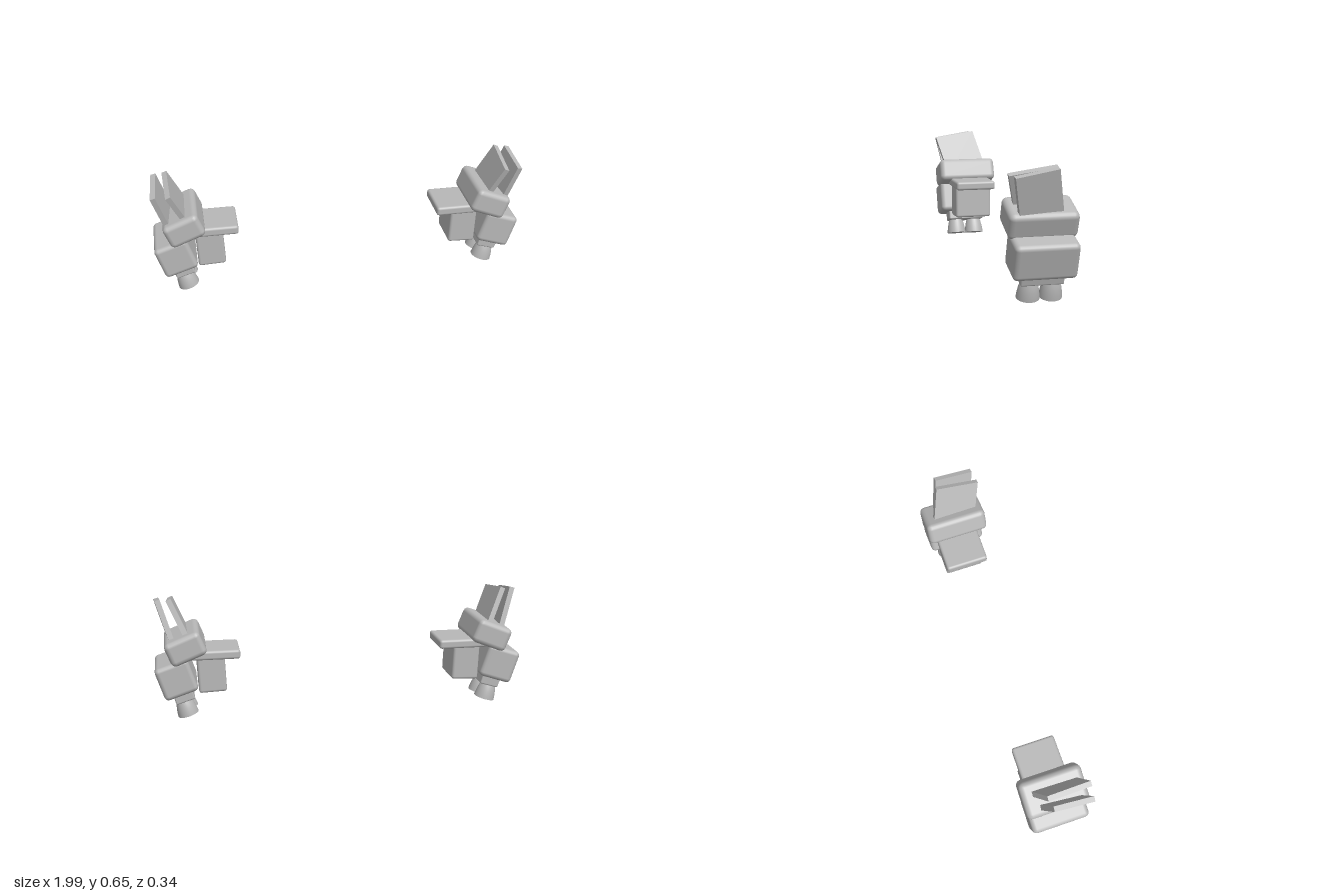
import * as THREE from 'three';
import { RoundedBoxGeometry } from 'three/addons/geometries/RoundedBoxGeometry.js';

export function createModel() {
  const model = new THREE.Group();
  const grey = new THREE.MeshStandardMaterial({ color: 0xb8b8b8 });
  grey.name = 'plain grey';

  // One arm unit; s = 1 is the left side, s = -1 the right side
  function buildArm(s) {
    const arm = new THREE.Group();
    arm.name = s > 0 ? 'leftArm' : 'rightArm';

    const add = (name, geometry, x = 0, y = 0, z = 0, tilt = 0) => {
      const mesh = new THREE.Mesh(geometry, grey);
      mesh.name = name;
      mesh.position.set(s * x, y, z);
      mesh.rotation.z = s * tilt;
      arm.add(mesh);
    };
    const block = (w, h, d, r) => new RoundedBoxGeometry(w, h, d, 2, r);

    // Stacked armour blocks, leaning outwards
    add('shoulderBlock', block(0.2, 0.134, 0.34, 0.028), 0.832, 0.402, -0.003, -0.38);
    add('forearmBlock', block(0.186, 0.184, 0.313, 0.024), 0.885, 0.235, -0.003, -0.32);
    add('wristBlock', block(0.105, 0.07, 0.213, 0.008), 0.85, 0.133, -0.003, -0.3);

    // Inner block with its cover plate
    add('innerBlock', block(0.148, 0.2, 0.215, 0.014), 0.698, 0.249, -0.012, -0.04);
    add('coverPlate', block(0.27, 0.05, 0.235, 0.014), 0.68, 0.355, -0.012);

    // Pair of bell nozzles, closed at both ends
    const bell = [[0.057, 0], [0.055, 0.02], [0.051, 0.045], [0.045, 0.07], [0.036, 0.095]]
      .map(([r, y]) => new THREE.Vector2(r, y));
    for (const z of [0.053, -0.059]) {
      add('nozzle', new THREE.LatheGeometry(bell, 28), 0.829, 0.019, z, -0.27);
      const cap = new THREE.CircleGeometry(0.057, 28).rotateX(Math.PI / 2);
      add('nozzleCap', cap, 0.829, 0.019, z, -0.27);
    }

    // Slanted fins: top centre, upward run and forward run of each slab
    const fin = (name, top, up, forward, thickness) => {
      const u = new THREE.Vector3(s * up[0], up[1], up[2]);
      const e = new THREE.Vector3(s * forward[0], forward[1], forward[2]);
      const n = u.clone().cross(e).setLength(thickness);
      const centre = new THREE.Vector3(s * top[0], top[1], top[2]).addScaledVector(u, -0.5);
      const geometry = new THREE.BoxGeometry(1, 1, 1)
        .applyMatrix4(new THREE.Matrix4().makeBasis(n, u, e).setPosition(centre));
      add(name, geometry);
    };
    fin('innerFin', [0.905, 0.633, 0.05], [0.1, 0.22, 0.06], [-0.01, -0.035, 0.235], 0.028);
    fin('outerFin', [0.972, 0.63, 0.05], [0.072, 0.23, 0.044], [0.01, -0.036, 0.212], 0.028);
    return arm;
  }

  for (const s of [1, -1]) model.add(buildArm(s));
  return model;
}
